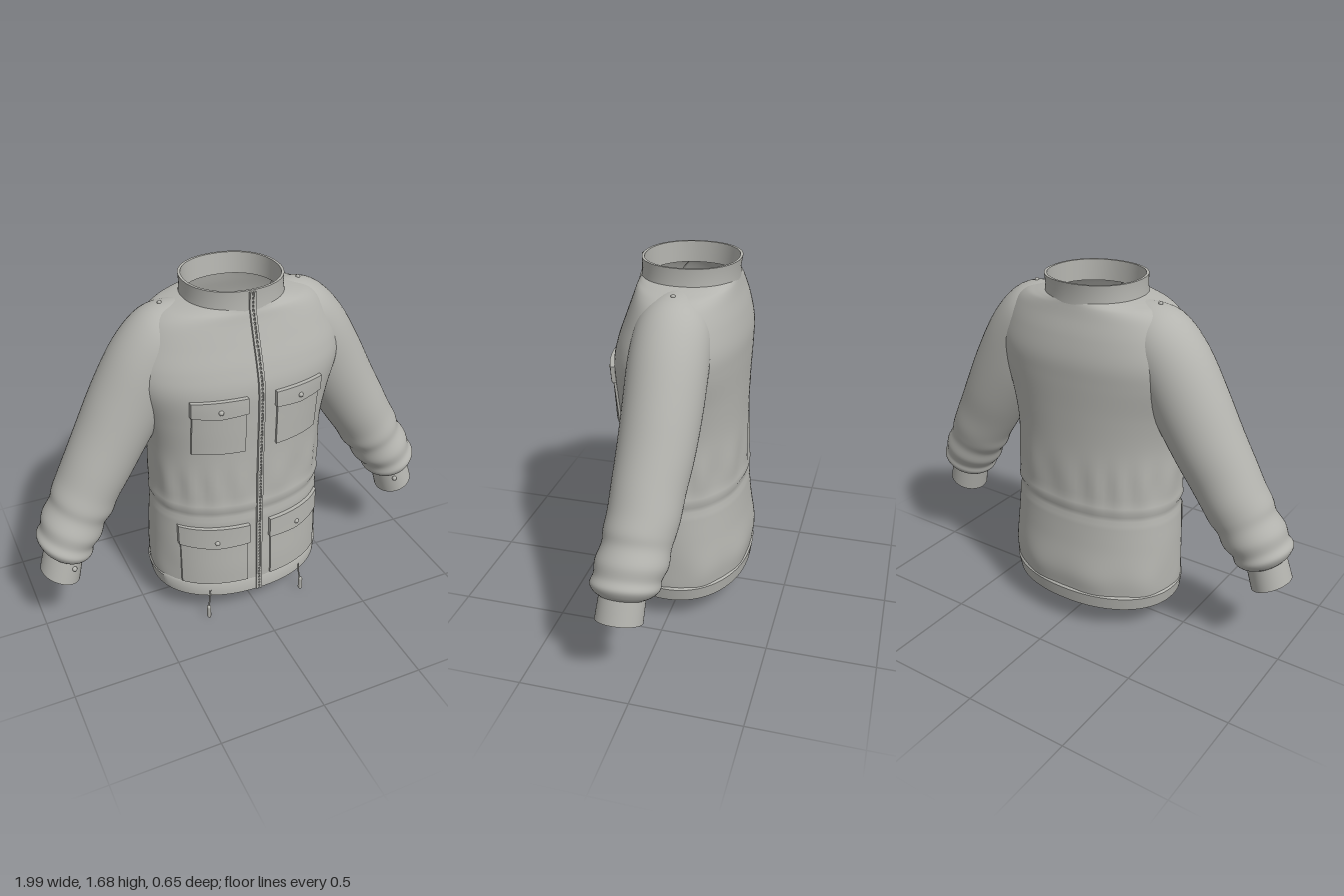
import * as THREE from 'three';
import { toCreasedNormals } from 'three/addons/utils/BufferGeometryUtils.js';

const cloth = new THREE.MeshStandardMaterial({ color: 0xb4b4af, side: THREE.DoubleSide });
cloth.name = 'grey cloth';

const add = (parent, name, geometry) => {
  const mesh = new THREE.Mesh(geometry, cloth);
  mesh.name = name;
  parent.add(mesh);
  return mesh;
};

// Skin a list of closed rings of points.
function skin(rings) {
  const n = rings[0].length, index = [];
  for (let i = 0; i < rings.length - 1; i++) {
    for (let j = 0; j < n; j++) {
      const a = i * n + j, b = i * n + (j + 1) % n;
      index.push(a, a + n, b, b, a + n, b + n);
    }
  }
  const g = new THREE.BufferGeometry().setFromPoints(rings.flat());
  g.setIndex(index);
  g.computeVertexNormals();
  return g;
}

// Smoothly subdivide rows of numbers, column by column.
function smooth(rows, steps) {
  const P = i => rows[Math.min(Math.max(i, 0), rows.length - 1)];
  const out = [];
  for (let i = 0; i < rows.length - 1; i++) {
    for (let k = 0; k < steps; k++) {
      const t = k / steps;
      out.push(rows[i].map((p1, c) => {
        const p0 = P(i - 1)[c], p2 = P(i + 1)[c], p3 = P(i + 2)[c];
        return 0.5 * (2 * p1 + (p2 - p0) * t + (2 * p0 - 5 * p1 + 4 * p2 - p3) * t * t
          + (3 * p1 - p0 - 3 * p2 + p3) * t * t * t);
      }));
    }
  }
  out.push(rows[rows.length - 1]);
  return out;
}

// Torso rows: height, half width, front z, back z
const torso = smooth([
  [0.13, 0.425, 0.312, -0.305], [0.2, 0.435, 0.31, -0.312], [0.3, 0.435, 0.31, -0.32],
  [0.45, 0.43, 0.305, -0.3], [0.62, 0.42, 0.305, -0.285], [0.8, 0.42, 0.305, -0.28],
  [0.95, 0.425, 0.305, -0.276], [1.1, 0.455, 0.308, -0.278], [1.25, 0.5, 0.307, -0.283],
  [1.35, 0.5, 0.285, -0.283], [1.45, 0.46, 0.25, -0.265], [1.53, 0.41, 0.222, -0.242],
  [1.57, 0.355, 0.21, -0.232], [1.588, 0.29, 0.203, -0.228], [1.6, 0.23, 0.2, -0.225],
], 8);
const POWER = 2.15;
const bell = (y, centre, width) => Math.exp(-(((y - centre) / width) ** 2));

// Rounded cross-section, with an optional gather at the waist
function bodyRing([y, hw, zf, zb], gather = 0, n = 96) {
  const ring = [], mid = (zf + zb) / 2, half = (zf - zb) / 2;
  for (let j = 0; j < n; j++) {
    const a = j / n * Math.PI * 2, c = Math.cos(a), s = Math.sin(a);
    const fold = gather * (0.006 * bell(y, 0.645, 0.02) - 0.008 * bell(y, 0.61, 0.015)
      + 0.005 * Math.sin(a * 16 + 2 * Math.sin(a * 3)) * bell(y, 0.76, 0.1)
      + 0.003 * Math.sin(a * 9) * bell(y, 0.25, 0.1));
    ring.push(new THREE.Vector3(
      Math.sign(c) * Math.abs(c) ** (2 / POWER) * (hw + fold), y,
      mid + Math.sign(s) * Math.abs(s) ** (2 / POWER) * (half + fold)));
  }
  return ring;
}

// Depth of the torso's front surface at a point
function frontZ(x, y) {
  let i = torso.findIndex(r => r[0] >= y);
  if (i < 0) i = torso.length - 1;
  const b = torso[i], a = torso[Math.max(i - 1, 0)];
  const t = b[0] > a[0] ? Math.min((y - a[0]) / (b[0] - a[0]), 1) : 0;
  const [hw, zf, zb] = [1, 2, 3].map(c => a[c] + (b[c] - a[c]) * t);
  const u = Math.min(Math.abs(x) / hw, 1);
  return (zf + zb) / 2 + (zf - zb) / 2 * (1 - u ** POWER) ** (1 / POWER);
}

// Panel draped over the front; dip lowers the middle of its bottom edge.
function panel(x0, x1, y0, y1, depth, lift = 0, dip = 0) {
  const w = x1 - x0, h = y1 - y0;
  const g = new THREE.BoxGeometry(w, h, depth, Math.max(2, Math.round(w * 50)), Math.max(4, Math.round(h * 40)), 1);
  const p = g.attributes.position;
  for (let i = 0; i < p.count; i++) {
    const down = 0.5 - p.getY(i) / h, side = Math.abs(p.getX(i)) * 2 / w;
    const x = p.getX(i) + (x0 + x1) / 2;
    const y = p.getY(i) + (y0 + y1) / 2 - dip * down * (1 - side);
    p.setXYZ(i, x, y, p.getZ(i) + lift + frontZ(x, y));
  }
  g.computeVertexNormals();
  return g;
}

function snap(parent, name, x, y, z, r = 0.012) {
  const m = add(parent, name, new THREE.SphereGeometry(r, 14, 10));
  m.position.set(x, y, z);
  return m;
}

// Sleeve rows: centre x, y, z, tilt in degrees, radius across, radius in z
const sleeveRows = smooth([
  [0.25, 1.45, -0.02, 88, 0.145, 0.14], [0.33, 1.42, -0.02, 62, 0.165, 0.165],
  [0.41, 1.32, -0.02, 42, 0.175, 0.172], [0.5, 1.16, -0.02, 30, 0.175, 0.17],
  [0.59, 1.0, -0.015, 30, 0.165, 0.165], [0.665, 0.87, -0.005, 30, 0.157, 0.158],
  [0.72, 0.775, 0, 30, 0.15, 0.155], [0.755, 0.71, 0.01, 28, 0.15, 0.153],
  [0.785, 0.66, 0.015, 28, 0.138, 0.147], [0.82, 0.6, 0.025, 26, 0.145, 0.156],
  [0.85, 0.55, 0.035, 25, 0.13, 0.145], [0.868, 0.515, 0.042, 24, 0.135, 0.15],
  [0.876, 0.485, 0.047, 23, 0.115, 0.13], [0.88, 0.465, 0.05, 23, 0.09, 0.1],
], 5);
const cuffRows = [
  [0.878, 0.475, 0.05, 23, 0.092, 0.1], [0.91, 0.36, 0.06, 23, 0.095, 0.104],
  [0.911, 0.358, 0.06, 23, 0.083, 0.092], [0.88, 0.465, 0.05, 23, 0.083, 0.092],
];
function sleeveRing([x, y, z, deg, r, rz], side, n = 48) {
  const t = deg * Math.PI / 180;
  return Array.from({ length: n }, (_, j) => {
    const a = j / n * Math.PI * 2, d = r * Math.cos(a);
    return new THREE.Vector3(side * (x + d * Math.cos(t)), y + d * Math.sin(t), z + rz * Math.sin(a));
  });
}

export function createModel() {
  const jacket = new THREE.Group();
  jacket.name = 'jacket';

  add(jacket, 'torso', skin(torso.map(r => bodyRing(r, 1))));

  // Hem band and standing collar, both with a turned-in lip
  const band = (name, rows) => add(jacket, name, toCreasedNormals(skin(rows.map(r => bodyRing(r))), 0.7));
  band('hem', [[0.205, 0.434, 0.309, -0.311], [0.195, 0.441, 0.315, -0.319], [0.13, 0.43, 0.318, -0.31],
    [0.13, 0.414, 0.302, -0.294], [0.2, 0.418, 0.296, -0.298]]);
  band('collar', [[1.585, 0.232, 0.204, -0.229], [1.63, 0.226, 0.2, -0.228], [1.677, 0.228, 0.202, -0.236],
    [1.677, 0.216, 0.19, -0.224], [1.58, 0.214, 0.186, -0.212]]);

  // Front zip
  const zip = new THREE.Group();
  zip.name = 'zip';
  jacket.add(zip);
  for (const s of [-1, 1]) add(zip, 'zipTape', panel(s * 0.009 - 0.005, s * 0.009 + 0.005, 0.13, 1.67, 0.02, 0.002));
  const tooth = new THREE.BoxGeometry(0.012, 0.008, 0.012);
  for (let y = 0.14; y < 1.66; y += 0.018) add(zip, 'zipTooth', tooth).position.set(0, y, frontZ(0, y) + 0.004);

  for (const s of [-1, 1]) {
    const side = s > 0 ? 'left' : 'right';

    // Sleeve, cuff and cuff snap
    add(jacket, side + 'Sleeve', skin(sleeveRows.map(r => sleeveRing(r, s))));
    add(jacket, side + 'Cuff', toCreasedNormals(skin(cuffRows.map(r => sleeveRing(r, s))), 0.7));
    snap(jacket, side + 'CuffSnap', s * 0.86, 0.43, 0.152);
    snap(jacket, side + 'ShoulderSnap', s * 0.33, 1.59, -0.02, 0.01);

    // Chest and hip pockets: inner x, outer x, bottom, flap edge, top
    for (const [name, x0, x1, y0, yf, y1] of [
      ['ChestPocket', 0.075, 0.305, 0.965, 1.165, 1.24],
      ['HipPocket', 0.06, 0.355, 0.21, 0.44, 0.545],
    ]) {
      const [a, b] = s > 0 ? [x0, x1] : [-x1, -x0];
      const pocket = new THREE.Group();
      pocket.name = side + name;
      jacket.add(pocket);
      add(pocket, 'pocketBag', panel(a, b, y0, y1 - 0.02, 0.024));
      add(pocket, 'pocketFlap', panel(a - 0.008, b + 0.008, yf, y1, 0.03, 0.006, 0.012));
      const x = (a + b) / 2, y = yf + 0.025;
      snap(pocket, 'pocketSnap', x, y, frontZ(x, y) + 0.02);
    }

    // Hem drawcord with its toggle
    const cord = new THREE.CatmullRomCurve3([[0.24, 0.165, 0.275], [0.245, 0.11, 0.275], [0.252, 0.06, 0.282]]
      .map(([x, y, z]) => new THREE.Vector3(s * x, y, z)));
    add(jacket, side + 'Drawcord', new THREE.TubeGeometry(cord, 10, 0.004, 8));
    const toggle = add(jacket, side + 'Toggle', new THREE.CapsuleGeometry(0.01, 0.05, 5, 12));
    toggle.position.set(s * 0.253, 0.038, 0.283);
    toggle.scale.set(1, 1.08, 1.3);
  }
  return jacket;
}
